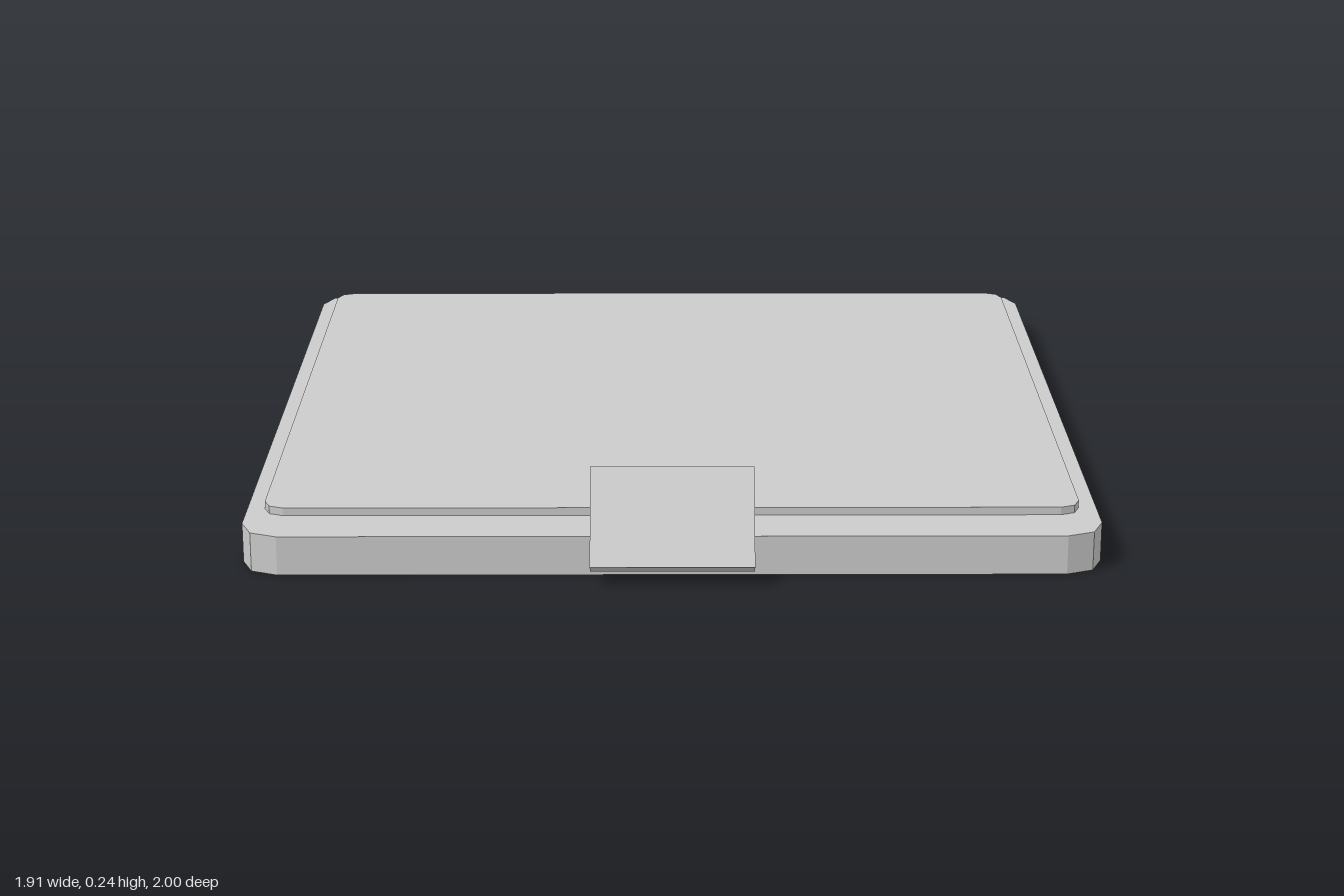
import * as THREE from 'three';

const material = new THREE.MeshStandardMaterial({ color: 0xcccccc, flatShading: true, side: THREE.DoubleSide });

// Rectangle outline at height y, counter-clockwise from above; corners of radius r in two facets
function outline(y, halfX, halfZ, r = 0) {
  const steps = r > 0 ? 2 : 0;
  const points = [];
  [[1, -1], [-1, -1], [-1, 1], [1, 1]].forEach(([sx, sz], corner) => {
    for (let k = 0; k <= steps; k++) {
      const a = (corner + (steps ? k / steps : 0)) * Math.PI / 2;
      points.push(new THREE.Vector3(
        sx * (halfX - r) + r * Math.cos(a), y, sz * (halfZ - r) - r * Math.sin(a)));
    }
  });
  return points;
}

// Skin a stack of convex outlines from bottom to top, with optional end caps
function loft(name, rings, capBottom, capTop) {
  const points = [];
  const n = rings[0].length;
  for (let j = 0; j < rings.length - 1; j++) {
    const lo = rings[j], hi = rings[j + 1];
    for (let i = 0; i < n; i++) {
      const k = (i + 1) % n;
      points.push(lo[i], lo[k], hi[k], lo[i], hi[k], hi[i]);
    }
  }
  const bottom = rings[0], top = rings[rings.length - 1];
  for (let i = 1; i < n - 1; i++) {
    if (capTop) points.push(top[0], top[i], top[i + 1]);
    if (capBottom) points.push(bottom[0], bottom[i + 1], bottom[i]);
  }
  const geometry = new THREE.BufferGeometry().setFromPoints(points);
  geometry.computeVertexNormals();
  const mesh = new THREE.Mesh(geometry, material);
  mesh.name = name;
  return mesh;
}

export function createModel() {
  const group = new THREE.Group();
  group.name = 'lid';

  // Thin tray-shaped shell, open underneath
  const shell = loft('shell', [
    outline(0, 0.955, 0.9575, 0.085),
    outline(0.09, 0.955, 0.9575, 0.085),
  ], false, true);
  shell.position.z = -0.0425;

  // Slightly raised top panel, set back from the front edge
  const panel = loft('raisedPanel', [
    outline(0.09, 0.915, 0.87, 0.045),
    outline(0.108, 0.915, 0.87, 0.045),
  ], false, true);
  panel.position.z = -0.09;

  // Tilted front latch: flat plate with a chamfered back
  const latch = loft('latch', [
    outline(-0.095, 0.13, 0.083),
    outline(-0.047, 0.18, 0.1125),
    outline(0, 0.18, 0.1125),
  ], true, true);
  latch.rotation.x = 1.007;
  latch.position.set(0, 0.145, 0.94);

  group.add(shell, panel, latch);
  return group;
}
